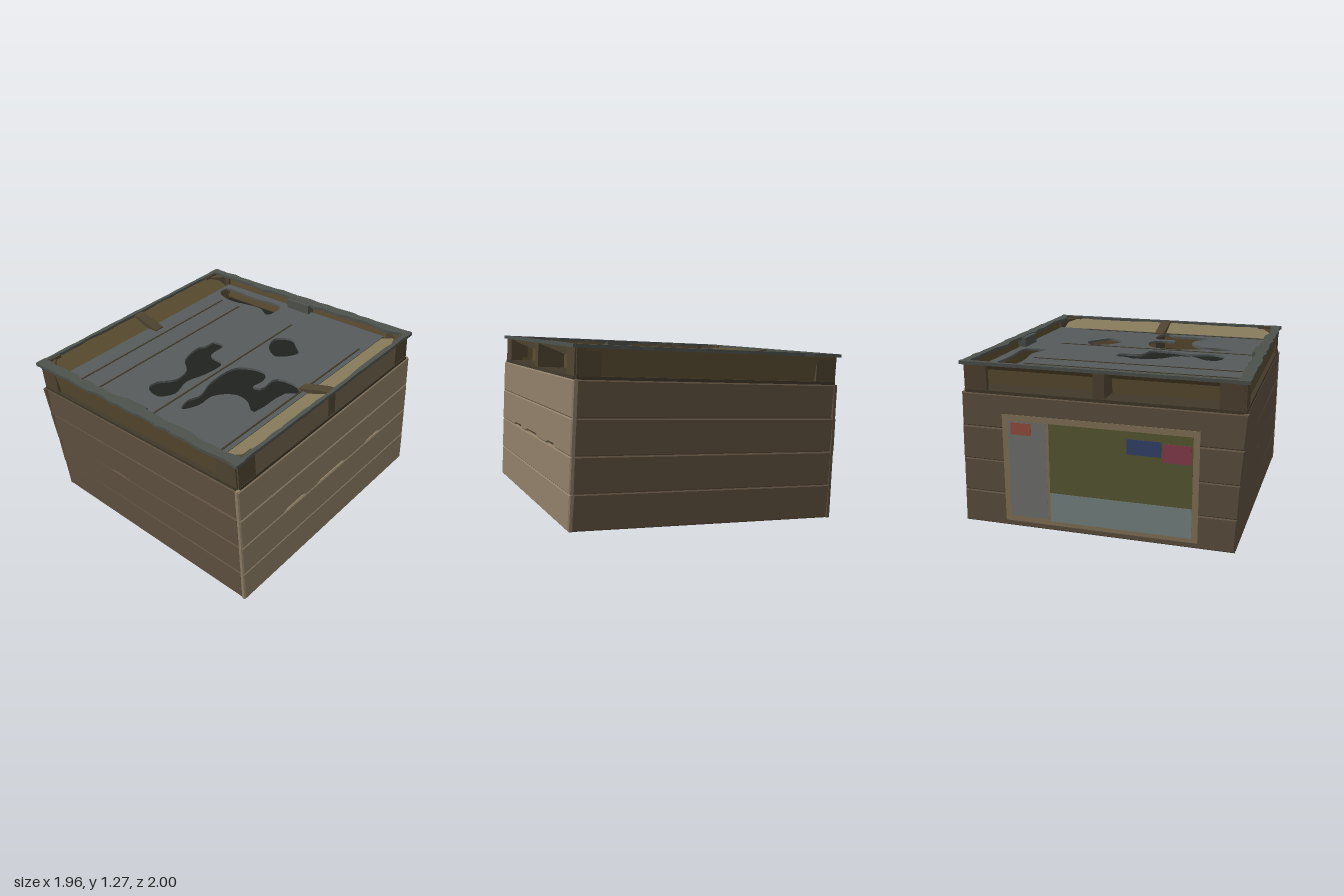
import * as THREE from 'three';

const W = 1.862, H = 0.905, TOP = 1.112, PLANK = H / 4, DECK = 1.04;
const LEAN = 0.045, SPLAY = 0.02; // the back feet lean: right one inward, left one outward

let seed = 7;
const rand = () => (seed = (seed * 16807) % 2147483647) / 2147483647;
const wobble = (a) => (rand() - 0.5) * 2 * a;

const mat = (color) => new THREE.MeshStandardMaterial({ color, roughness: 0.95, side: THREE.DoubleSide });
const mats = {
  pale: mat(0x8d7d66), brown: mat(0x5f5140), dark: mat(0x40382a), post: mat(0x4f4431),
  deck: mat(0x565a5a), shadow: mat(0x20221f), rimPale: mat(0x85795a), rimDark: mat(0x5a4c30), lip: mat(0x4d514b),
};

function add(parent, name, geometry, material, x = 0, y = 0, z = 0) {
  const m = new THREE.Mesh(geometry, material);
  m.name = name;
  m.position.set(x, y, z);
  parent.add(m);
  return m;
}
const box = (w, h, d) => new THREE.BoxGeometry(w, h, d);

// Board in the XY plane, outer face at z = 0; notches cut slits in its lower edge,
// endShift(y) gives the slant of its left and right ends
function boardGeometry(len, h, notches, endShift) {
  const [l0, r0] = endShift(0), [l1, r1] = endShift(h);
  const s = new THREE.Shape();
  s.moveTo(-len / 2 + l0, 0);
  for (const [a, b] of notches) {
    s.lineTo(a, 0);
    s.lineTo(a + 0.05, 0.016);
    s.lineTo(b - 0.05, 0.018);
    s.lineTo(b, 0);
  }
  s.lineTo(len / 2 + r0 + wobble(0.005), 0);
  s.lineTo(len / 2 + r1 + wobble(0.005), h);
  s.lineTo(-len / 2 + l1, h);
  s.closePath();
  const g = new THREE.ExtrudeGeometry(s, {
    depth: 0.018, bevelEnabled: true, bevelThickness: 0.008, bevelSize: 0.008, bevelOffset: -0.008, bevelSegments: 1,
  });
  return g.translate(0, 0, -0.026);
}

// Thin strip with ragged long edges
function raggedGeometry(len, h, rough, depth) {
  const s = new THREE.Shape();
  const n = 26;
  s.moveTo(-len / 2, 0);
  for (let i = 1; i <= n; i++) s.lineTo(-len / 2 + (len * i) / n, wobble(rough * 0.5));
  for (let i = n; i >= 0; i--) s.lineTo(-len / 2 + (len * i) / n, h + wobble(rough));
  s.closePath();
  return new THREE.ExtrudeGeometry(s, { depth, bevelEnabled: false });
}

// Triangular corner post, right angle at the origin, legs toward -x and -z
function cornerGeometry(leg, h) {
  const s = new THREE.Shape();
  s.moveTo(0, 0);
  s.lineTo(-leg, 0);
  s.lineTo(0, leg);
  s.closePath();
  return new THREE.ExtrudeGeometry(s, { depth: h, bevelEnabled: false }).rotateX(-Math.PI / 2);
}

// One side of the crate: outward is +z
function buildSide(index) {
  const side = new THREE.Group();
  side.name = ['frontWall', 'leftWall', 'backWall', 'rightWall'][index];
  const isEnd = index % 2 === 0;
  const len = isEnd ? W : W - 0.05;
  const wallMat = index === 0 ? mats.pale : mats.brown;

  // Four planks; those next to the leaning back feet are slanted or swung to follow them
  for (let i = 0; i < 4; i++) {
    const slits = index === 0 && i === 2 ? [[-0.53, -0.28], [-0.18, 0.16], [0.38, 0.6]]
      : index === 3 && i === 2 ? [[-0.3, -0.1]] : [];
    const y0 = i * PLANK;
    const endShift = (y) => (index === 2 ? [-SPLAY, -LEAN].map((d) => d * (1 - (y0 + y) / H)) : [0, 0]);
    const plank = add(side, 'plank', boardGeometry(len, PLANK, slits, endShift), wallMat,
      0, y0, W / 2 - 0.004 + wobble(0.003));
    if (!isEnd) {
      const d = (index === 3 ? LEAN : SPLAY) * (1 - (y0 + PLANK / 2) / H);
      plank.position.z += index === 3 ? -d / 2 : d / 2;
      plank.rotation.y = -d / len;
    }
  }

  // Panel behind the rim openings: sloping at front and back, upright at the sides
  const outer = isEnd ? 0.918 : 0.91, inner = [0.72, 0.88, 0.74, 0.88][index];
  const foot = isEnd ? DECK - 0.012 : H;
  const rise = TOP - 0.012 - foot, run = outer - inner;
  const panel = add(side, 'rimPanel', raggedGeometry(1.7, Math.hypot(rise, run), 0.005, 0.01),
    index === 0 ? mats.rimPale : mats.rimDark, 0, foot, inner);
  panel.rotation.x = Math.atan2(run, rise);

  // Ragged lip along the top edge
  const lip = add(side, 'rimLip', raggedGeometry(W + 0.01, isEnd ? 0.03 : 0.065, isEnd ? 0.006 : 0.016, 0.022),
    mats.lip, 0, TOP - 0.022, W / 2);
  lip.rotation.x = -Math.PI / 2;

  // Ledge closing the bottom of the openings
  const ledge = W / 2 - 0.01 - inner;
  add(side, 'rimLedge', box(W - 0.06, 0.02, ledge), mats.dark, 0, H + 0.01, inner + ledge / 2);

  // Corner and centre blocks carrying the lip
  for (const sx of [-1, 1])
    add(side, 'rimEndBlock', box(0.15, TOP - H - 0.01, 0.03), mats.post, sx * 0.83, (TOP + H) / 2, W / 2 - 0.03);
  if (isEnd) {
    add(side, 'openingBack', box(1.7, DECK - H, 0.012), mats.rimDark, 0, (DECK + H) / 2 - 0.006, inner);
    const p = new THREE.Shape();
    p.moveTo(0.91, H);
    p.lineTo(0.91, TOP - 0.005);
    p.lineTo(0.86, TOP - 0.01);
    p.lineTo(0.67, DECK + 0.008);
    p.lineTo(0.67, DECK - 0.01);
    p.lineTo(inner, H);
    p.closePath();
    const g = new THREE.ExtrudeGeometry(p, { depth: 0.075, bevelEnabled: false });
    g.rotateY(-Math.PI / 2).translate(0.0375, 0, 0);
    add(side, 'rimCentreBlock', g, mats.post, index === 0 ? 0.01 : 0, 0, 0);
  } else {
    add(side, 'rimCentreBlock', box(0.2, 0.08, 0.06), mats.lip, 0, TOP - 0.045, W / 2 - 0.065);
  }

  // Corner post inside the crate, reaching up to the rim
  const post = add(side, 'cornerPost', cornerGeometry(0.13, TOP - 0.03), mats.post, W / 2 - 0.025, 0.01, W / 2 - 0.025);
  if (index === 2) {
    post.position.x -= LEAN;
    post.rotation.z = -LEAN / TOP;
  }
  side.rotation.y = (index * Math.PI) / 2;
  return side;
}

// Deck with worn-through holes, outlines given as x, z pairs
function buildDeck() {
  const deck = new THREE.Group();
  deck.name = 'deck';
  const holes = [
    [[-0.64, -0.05], [-0.6, -0.18], [-0.52, -0.18], [-0.42, -0.1], [-0.3, -0.12], [-0.2, -0.23], [-0.02, -0.27],
      [0.02, -0.24], [0.1, -0.23], [0.1, -0.14], [-0.05, -0.12], [-0.09, 0.02], [-0.25, 0.02], [-0.4, -0.02], [-0.55, 0.02]],
    [[-0.65, 0.18], [-0.55, 0.14], [-0.47, 0.17], [-0.32, 0.12], [-0.1, 0.12], [-0.03, 0.18], [0, 0.33], [-0.08, 0.39],
      [-0.18, 0.38], [-0.16, 0.44], [-0.02, 0.44], [0, 0.6], [-0.06, 0.67], [-0.12, 0.6], [-0.4, 0.57], [-0.33, 0.46],
      [-0.32, 0.35], [-0.42, 0.24], [-0.55, 0.24]],
    [[0.21, 0.26], [0.28, 0.14], [0.4, 0.1], [0.46, 0.2], [0.41, 0.28], [0.33, 0.36]],
    [[0.65, -0.18], [0.7, -0.3], [0.67, -0.6], [0.73, -0.76], [0.81, -0.74], [0.81, -0.45], [0.81, -0.18]],
  ];
  const s = new THREE.Shape();
  s.moveTo(-0.88, -0.74);
  s.lineTo(0.88, -0.74);
  s.lineTo(0.88, 0.75);
  s.lineTo(-0.88, 0.75);
  s.closePath();
  for (const h of holes) {
    // kept just inside the deck edge
    const pts = h.map(([x, z]) => new THREE.Vector3(x, Math.min(-z - 0.03, 0.71), 0));
    const curve = new THREE.CatmullRomCurve3(pts, true);
    s.holes.push(new THREE.Path(curve.getPoints(60).slice(0, 60).map((p) => new THREE.Vector2(p.x, p.y))));
  }
  const g = new THREE.ExtrudeGeometry(s, { depth: 0.016, bevelEnabled: false }).rotateX(-Math.PI / 2);
  add(deck, 'deckBoards', g, mats.deck, 0, DECK - 0.016, 0);
  add(deck, 'deckUnderside', box(1.79, 0.014, 1.79), mats.shadow, 0, H + 0.007, 0);
  for (const z of [-0.6, -0.42, 0.1, 0.7])
    add(deck, 'deckSeam', box(1.48, 0.005, 0.012), mats.dark, -0.11, DECK + 0.001, z);
  return deck;
}

// Faded picture panel on the back, made of plain colour fields (x, y, width, height)
function buildPanel() {
  const panel = new THREE.Group();
  panel.name = 'picturePanel';
  const fields = [
    [0, 0.41, 1.3, 0.74, 0x86765a], [0.48, 0.41, 0.26, 0.66, 0x747672], [-0.14, 0.5, 0.94, 0.48, 0x5a5a34],
    [-0.14, 0.17, 0.94, 0.2, 0x7a8784], [-0.3, 0.64, 0.22, 0.1, 0x34456e], [-0.51, 0.62, 0.18, 0.12, 0x8a3c50],
    [0.52, 0.69, 0.14, 0.08, 0x9a5040],
  ];
  fields.forEach(([x, y, w, h, c], i) =>
    add(panel, 'colourField', box(w, h, 0.003), mat(c), x, y, -W / 2 - 0.001 - i * 0.0008));
  return panel;
}

export function createModel() {
  seed = 7;
  const model = new THREE.Group();
  model.name = 'woodenCrate';
  const crate = new THREE.Group();
  crate.name = 'crate';
  for (let i = 0; i < 4; i++) crate.add(buildSide(i));
  crate.add(buildDeck(), buildPanel());

  // The crate sits slightly askew; centre it and stand it on the ground
  crate.rotation.set(-0.063, 0.037, 0.025);
  model.add(crate);
  model.updateMatrixWorld(true);
  const b = new THREE.Box3().setFromObject(crate, true);
  const c = b.getCenter(new THREE.Vector3());
  crate.position.set(-c.x, -b.min.y, -c.z);
  return model;
}
